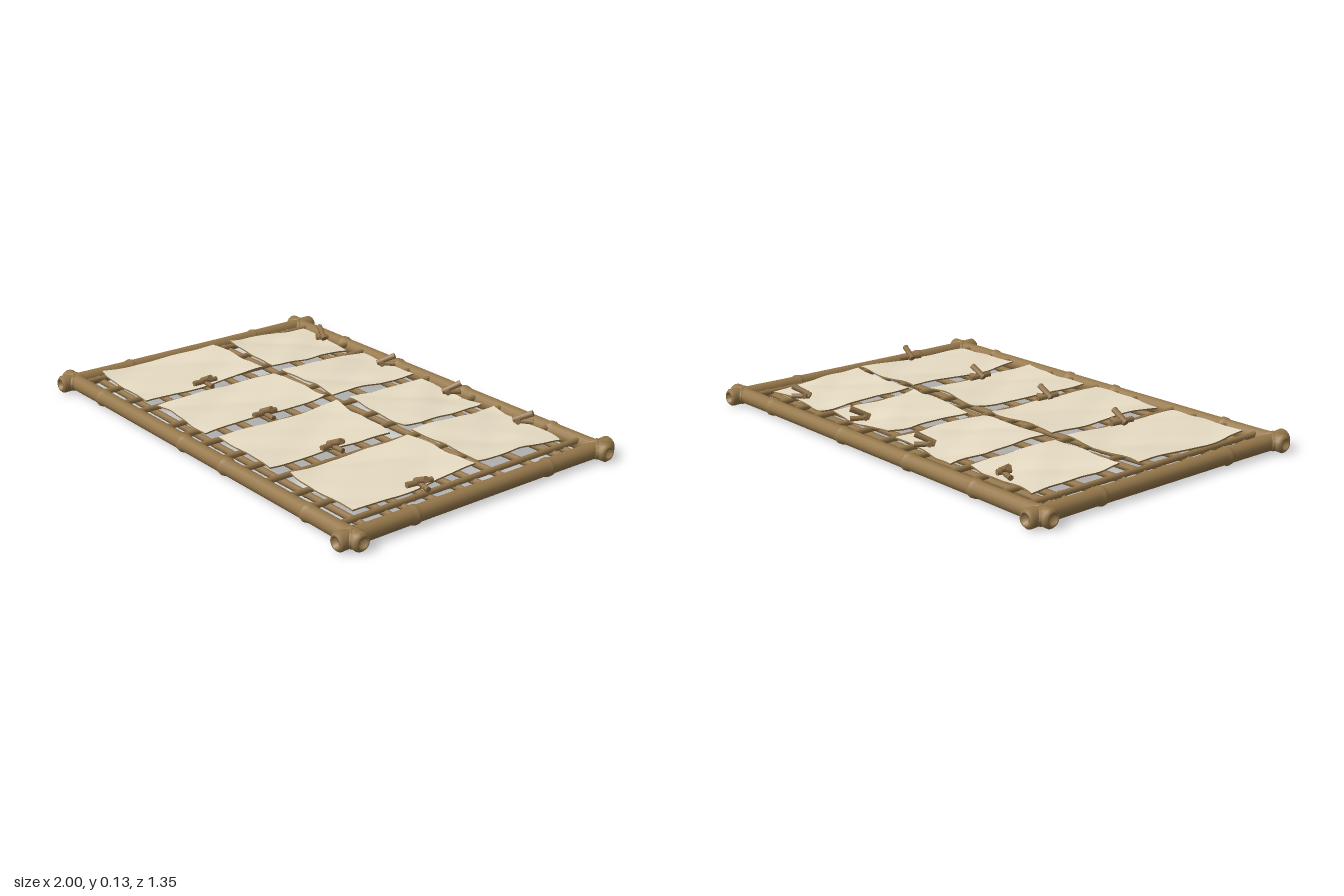
import * as THREE from 'three';

const mat = (name, color) => {
  const m = new THREE.MeshStandardMaterial({ color });
  m.name = name;
  return m;
};

export function createModel() {
  const group = new THREE.Group();
  const bamboo = mat('bamboo', 0x96784b);
  const caneWood = mat('cane wood', 0x94764a);
  const pegWood = mat('peg wood', 0x927349);
  const paper = mat('sheet top', 0xf1e5cc);
  const paperBack = mat('sheet underside', 0x967a4d);

  let seed = 7;
  const jitter = (a) => {
    seed = (seed * 16807) % 2147483647;
    return (seed / 2147483647 * 2 - 1) * a;
  };

  const add = (geo, material, name, parent = group) => {
    const mesh = new THREE.Mesh(geo, material);
    mesh.name = name;
    parent.add(mesh);
    return mesh;
  };

  // Places a geometry built along y so it runs from a to b
  const V = (x, y, z) => new THREE.Vector3(x, y, z);
  const span = (mesh, a, b) => {
    mesh.position.copy(a).add(b).multiplyScalar(0.5);
    mesh.quaternion.setFromUnitVectors(V(0, 1, 0), b.clone().sub(a).normalize());
    return mesh;
  };

  // Bamboo pole: lathe with swollen joints, flared ends and hollowed tips
  const pole = (half, r, joints, sides) => {
    const end = [[0, r * 0.5], [r * 0.55, r * 0.4], [r * 0.6, 0], [r * 0.85, 0], [r * 1.12, r * 0.3], [r * 1.08, r * 1.2], [r, r * 3.2]];
    const pts = end.map(([x, y]) => [x, y - half]);
    for (const j of joints) {
      pts.push([r * 0.97, j - r * 0.7], [r * 1.13, j - r * 0.15], [r * 1.13, j + r * 0.15], [r * 0.97, j + r * 0.7]);
    }
    pts.push(...end.reverse().map(([x, y]) => [x, half - y]));
    return new THREE.LatheGeometry(pts.map(([x, y]) => new THREE.Vector2(x, y)), sides);
  };

  // Outer frame
  for (const s of [-1, 1]) {
    span(add(pole(1, 0.033, s > 0 ? [-0.69, -0.08, 0.2, 0.7] : [-0.6, -0.22, 0.2, 0.7], 14), bamboo, s > 0 ? 'frontPole' : 'backPole'),
      V(-1, 0.044, s * 0.605), V(1, 0.044, s * 0.605));
    span(add(pole(0.675, 0.033, [-0.33, 0.33], 14), bamboo, s > 0 ? 'leftPole' : 'rightPole'),
      V(s * 0.938, 0.043, -0.675), V(s * 0.938, 0.043, 0.675));
    // Crossed diagonal lashings at the corners
    for (const t of [-1, 1]) {
      for (const turn of [-1, 1]) {
        const lashing = add(new THREE.TorusGeometry(0.032, 0.006, 6, 18), bamboo, 'cornerLashing');
        lashing.scale.set(1.5, 1, 1.8);
        lashing.position.set(s * 0.938, 0.043, t * 0.605);
        lashing.rotation.y = turn * Math.PI / 4;
      }
    }
  }

  // Lattice of thin canes
  [-0.86, -0.72, -0.56, -0.44, -0.23, -0.12, 0, 0.16, 0.29, 0.425, 0.58, 0.7, 0.86].forEach((x) => {
    span(add(pole(0.6, 0.012, [-0.35 + jitter(0.1), 0.05, 0.35 + jitter(0.1)], 7), caneWood, 'lengthwiseCane'),
      V(x + jitter(0.008), 0.057, -0.6), V(x + jitter(0.008), 0.057, 0.6));
  });
  [-0.51, -0.44, -0.3, -0.145, -0.035, 0.055, 0.19, 0.31, 0.39, 0.51].forEach((z, i) => {
    const sag = i % 3 === 2 ? 0.018 : 0.008;
    const path = new THREE.CatmullRomCurve3([
      V(-0.94, 0.042, z + jitter(0.008)), V(-0.3, 0.044 - sag, z), V(0.3, 0.044 - sag * 0.9, z), V(0.94, 0.042, z + jitter(0.008))]);
    add(new THREE.TubeGeometry(path, 16, 0.014, 7), caneWood, 'crosswiseCane');
    for (const t of [0.2, 0.5, 0.8]) {
      const joint = add(new THREE.SphereGeometry(0.016, 7, 5), caneWood, 'caneJoint');
      joint.position.copy(path.getPointAt(t));
    }
  });

  // Sheets: thin slabs stretched between four corners, creased, with curled corners
  // corners: back -x, back +x, front +x, front -x as [x, z]
  const sheet = ([a, b, c, d], lift, phase) => {
    const geo = new THREE.BoxGeometry(2, 0.006, 2, 20, 1, 24);
    const p = geo.attributes.position;
    const mix = (k, u, v) => THREE.MathUtils.lerp(
      THREE.MathUtils.lerp(a[k], b[k], u), THREE.MathUtils.lerp(d[k], c[k], u), v);
    for (let i = 0; i < p.count; i++) {
      const u = p.getX(i), y = p.getY(i), v = p.getZ(i);
      const crease = 0.007 * Math.abs(Math.sin(u * 1.7 + v * 1.3 + phase)) - 0.004
        + 0.0025 * Math.sin(u * 3.3 - v * 2.6 + phase * 2)
        + 0.0015 * Math.sin(u * 5 + phase) * Math.sin(v * 6 + phase * 3);
      const curl = 0.007 * (u * v) ** 4 * Math.sin(u + v * 2 + phase);
      p.setXYZ(i,
        mix(0, (u + 1) / 2, (v + 1) / 2) + 0.005 * Math.sin(v * 4 + phase) * u + 0.002 * Math.sin(v * 9 + phase),
        y + crease + curl + lift(u, v),
        mix(1, (u + 1) / 2, (v + 1) / 2) + 0.005 * Math.sin(u * 3 + phase * 2) * v + 0.002 * Math.sin(u * 8 + phase));
    }
    geo.computeVertexNormals();
    add(geo, [paperBack, paperBack, paper, paperBack, paperBack, paperBack], 'sheet').position.y = 0.078;
  };
  // Back row slopes up towards the middle and is pressed down under its pegs
  [
    [[-0.82, -0.545], [-0.46, -0.515], [-0.475, -0.11], [-0.845, -0.13]],
    [[-0.4, -0.55], [-0.035, -0.53], [-0.05, -0.105], [-0.41, -0.11]],
    [[0.03, -0.52], [0.395, -0.52], [0.39, -0.1], [0.015, -0.13]],
    [[0.44, -0.54], [0.82, -0.52], [0.82, -0.095], [0.435, -0.105]],
  ].forEach((corners, i) => sheet(corners,
    (u, v) => 0.001 + 0.007 * v - 0.006 * Math.exp(-6 * (u * u + (v + 0.8) ** 2)), i * 1.7 + 0.4));
  // Front row lifts along its back edge
  [
    [[-0.86, -0.06], [-0.475, -0.06], [-0.475, 0.535], [-0.87, 0.515]],
    [[-0.405, -0.06], [-0.05, -0.06], [-0.045, 0.535], [-0.41, 0.515]],
    [[0.03, -0.055], [0.39, -0.025], [0.385, 0.535], [0.02, 0.515]],
    [[0.465, -0.06], [0.835, -0.07], [0.84, 0.52], [0.465, 0.515]],
  ].forEach((corners, i) => sheet(corners, (u, v) => 0.008 * Math.max(0, -v) ** 2, i * 2.1 + 1));

  // Pegs: a flat jaw, a raised handle and a cross pin
  const peg = (x, z, angle, pinHalf) => {
    const g = new THREE.Group();
    g.name = 'peg';
    const stick = (a, b, w, name) =>
      span(add(new THREE.CylinderGeometry(w, w * 0.85, a.distanceTo(b), 7), pegWood, name, g), a, b);
    stick(V(-0.03, 0.087, 0), V(0.045, 0.085, 0), 0.011, 'pegJaw');
    stick(V(-0.035, 0.09, 0.004), V(0.042, 0.125, 0.008), 0.013, 'pegHandle');
    stick(V(-0.014, 0.091, -pinHalf), V(-0.014, 0.091, pinHalf), 0.012, 'pegPin');
    g.position.set(x, 0, z);
    g.rotation.y = angle;
    group.add(g);
  };
  [[-0.475, 0.235, -0.05], [-0.035, 0.245, 0], [0.385, 0.235, 0.05], [0.84, 0.205, -0.15]]
    .forEach(([x, z, a]) => peg(x, z, a, 0.055));
  [[-0.645, -0.505, 2.85], [-0.2, -0.51, 0.85], [0.225, -0.5, 1.05], [0.635, -0.505, 0.7]]
    .forEach(([x, z, a]) => peg(x, z, a, 0.028));

  return group;
}
